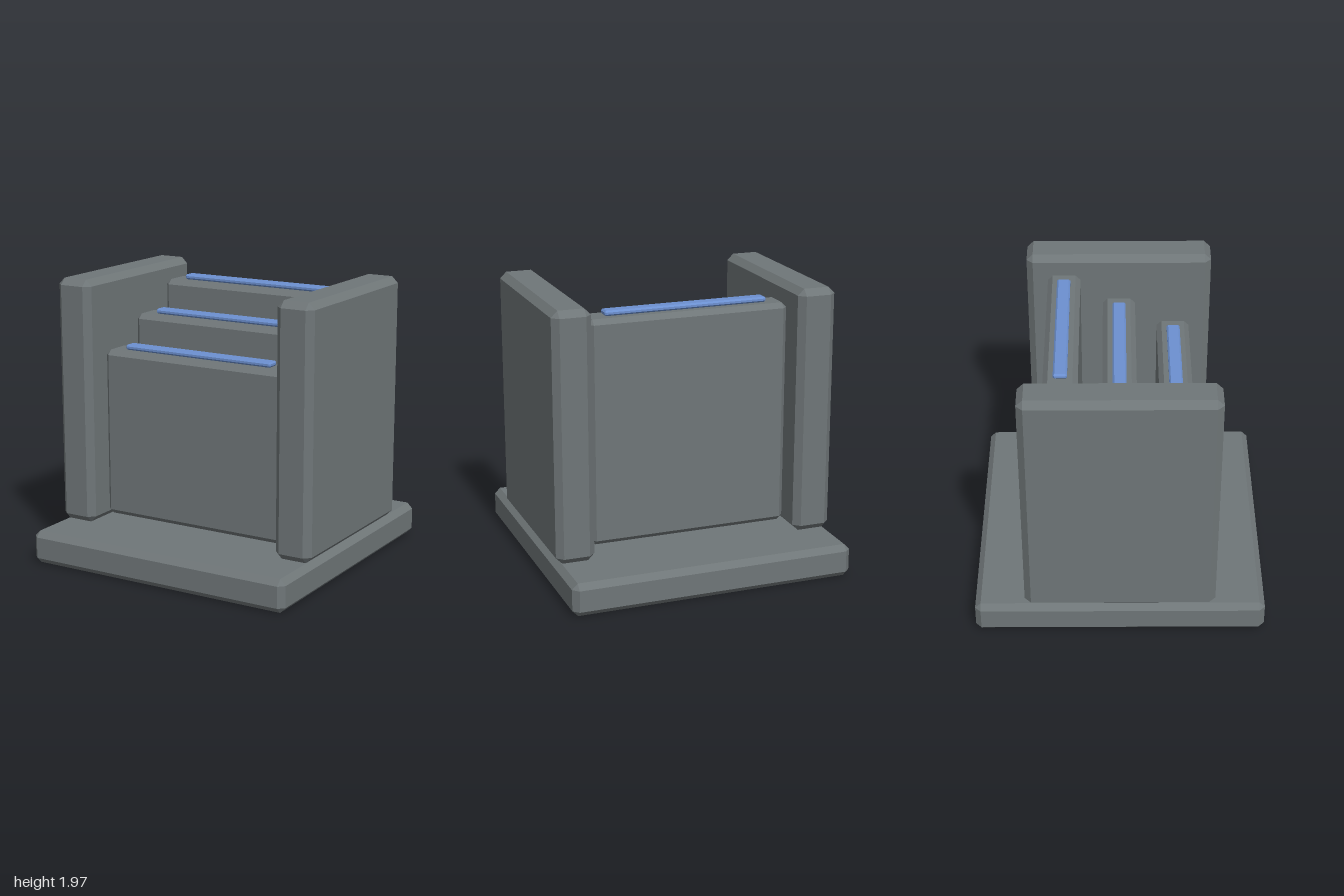
import * as THREE from 'three';
import { ConvexGeometry } from 'three/addons/geometries/ConvexGeometry.js';

// Box with every edge cut at 45 degrees by c
function chamferBox(w, h, d, c) {
  const half = [w / 2, h / 2, d / 2];
  const points = [];
  for (const sx of [-1, 1]) for (const sy of [-1, 1]) for (const sz of [-1, 1]) {
    for (let axis = 0; axis < 3; axis++) {
      const p = half.map((v, i) => (i === axis ? v : v - c));
      points.push(new THREE.Vector3(p[0] * sx, p[1] * sy, p[2] * sz));
    }
  }
  return new ConvexGeometry(points);
}

export function createModel() {
  const model = new THREE.Group();
  const gray = new THREE.MeshStandardMaterial({ color: 0x6f7678 });
  gray.name = 'slate gray';
  const blue = new THREE.MeshStandardMaterial({ color: 0x6c90d0 });
  blue.name = 'light blue';

  // Adds a chamfered block standing on height y0
  function block(name, material, [w, h, d], c, x, y0, z) {
    const mesh = new THREE.Mesh(chamferBox(w, h, d, c), material);
    mesh.name = name;
    mesh.position.set(x, y0 + h / 2, z);
    model.add(mesh);
  }

  // Square base slab
  block('base', gray, [2, 0.23, 2], 0.04, 0, 0, 0);

  // Two upright side walls
  for (const [name, side] of [['leftWall', 1], ['rightWall', -1]]) {
    block(name, gray, [0.27, 1.735, 1.31], 0.045, side * 0.865, 0.23, 0);
  }

  // Three panels rising towards the back, each with a light strip on top
  const bottom = 0.275;
  const rows = [['front', 1.463, 0.387], ['middle', 1.656, 0], ['back', 1.849, -0.387]];
  for (const [row, top, z] of rows) {
    block(row + 'Panel', gray, [1.42, top - bottom, 0.23], 0.034, 0, bottom, z);
    block(row + 'Strip', blue, [1.155, 0.036, 0.093], 0.011, 0, top + 0.002, z);
  }

  return model;
}
